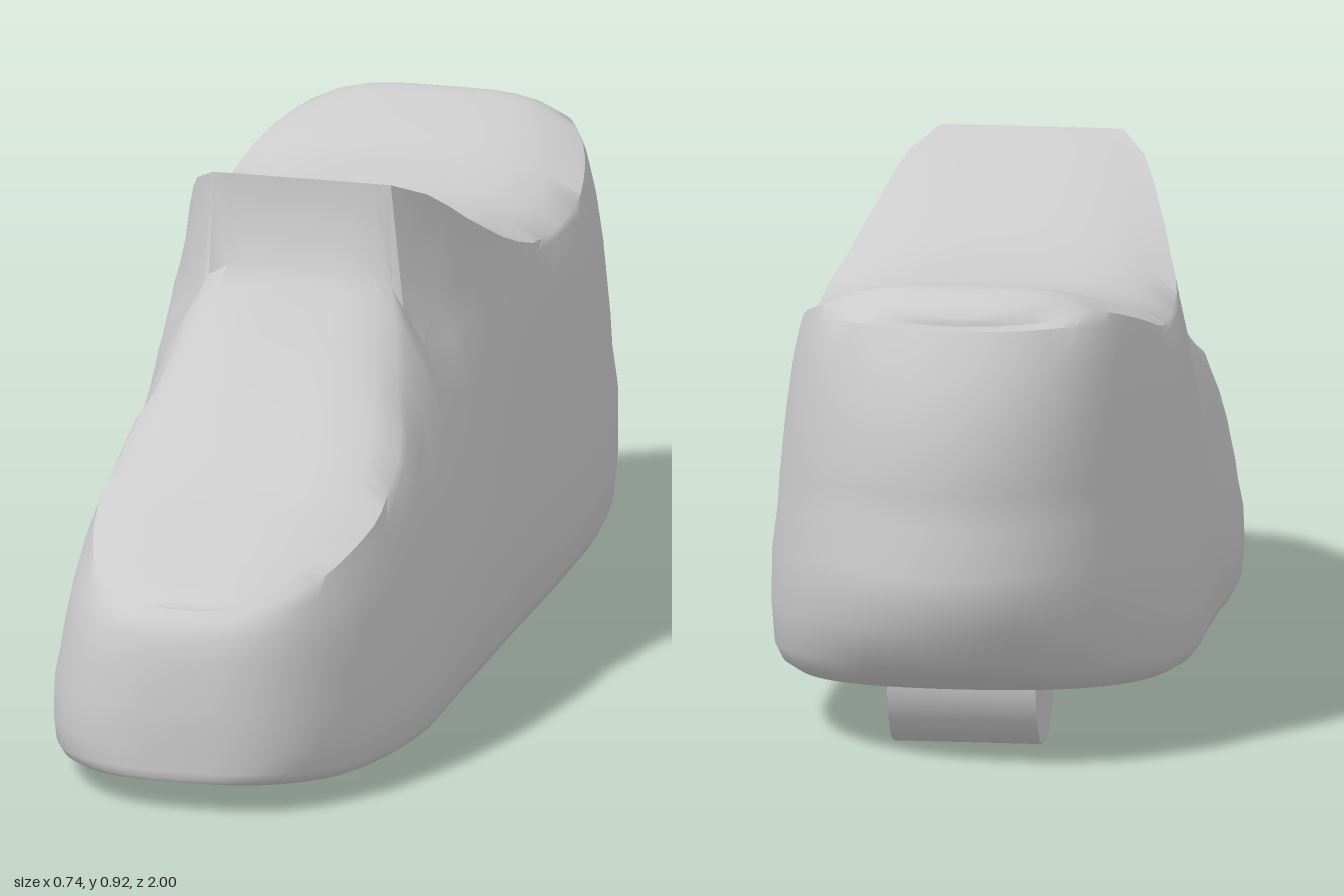
import * as THREE from 'three';
import { toCreasedNormals } from 'three/addons/utils/BufferGeometryUtils.js';

// Linear lookup in a list of [z, value] keys ordered from front to back
function look(keys, z) {
  if (z >= keys[0][0]) return keys[0][1];
  for (let i = 1; i < keys.length; i++) {
    const [z0, v0] = keys[i - 1], [z1, v1] = keys[i];
    if (z >= z1) return v0 + (v1 - v0) * (z0 - z) / (z0 - z1);
  }
  return keys[keys.length - 1][1];
}

// Sole height, shoulder height, centre line of the top, and crown of the top
const sole = [[1, .055], [.8, .033], [.5, .022], [.2, .033], [0, .05], [-.4, .09], [-.85, .13]];
const shoulder = [[1, .33], [.9, .345], [.8, .36], [.6, .41], [.45, .475], [.3, .57], [.2, .7], [0, .71],
  [-.2, .69], [-.5, .69], [-.65, .73], [-.78, .77]];
const topLine = [[.96, .365], [.9, .385], [.8, .41], [.6, .465], [.45, .535], [.3, .65], [.187, .77], [.183, .92],
  [.1, .89], [0, .835], [-.1, .79], [-.2, .76], [-.35, .745], [-.5, .765], [-.65, .81], [-.75, .84], [-.85, .815]];
const crown = [[1, .02], [.6, .03], [.3, .06], [.187, .03], [.183, 0], [0, .02], [-.2, .045], [-.5, .055], [-.8, .05]];
// Half widths of the body and of the top rim
const bodyWidth = [[1, .33], [.3, .33], [0, .345], [-.2, .36], [-.4, .37], [-1, .37]];
const rimWidth = [[1, .25], [.6, .26], [.4, .24], [.2, .17], [.18, .16], [.1, .215], [-.05, .265], [-.2, .305],
  [-.5, .315], [-1, .31]];

// Levels up the wall: [height fraction, width factor, pull towards rim, front reach, back reach]
const levels = [
  [0, .88, 0, .995, .85], [.025, .95, 0, 1, .88], [.07, .985, 0, 1, .925], [.19, 1, 0, 1, .98], [.35, 1, .03, 1, 1],
  [.47, .985, .1, .998, .966], [.57, .985, .18, .995, .97], [.76, .99, .42, .99, .952], [.9, 1, .66, .98, .915],
  [1, 1, .88, .965, .875], [1, 1, 1, .94, .83],
];

// Rounded plan shape of the toe and the heel
function endTaper(s) {
  if (s > .3) return Math.pow(Math.max(0, 1 - Math.pow((s - .3) / .7, 2.8)), 1 / 2.8);
  if (s < -.45) return Math.sqrt(Math.max(0, 1 - ((s + .45) / .55) ** 2));
  return 1;
}

const reachZ = (s, front, back) => s - Math.sign(s) * (1 - (s > 0 ? front : back)) * s ** 4;

// One closed cross-section, from the left sole edge over the top to the right
function section(s) {
  const taper = endTaper(s), w = look(bodyWidth, s) * taper, r = look(rimWidth, s) * taper;
  const last = levels.length - 1;
  const zTop = reachZ(s, levels[last][3], levels[last][4]);
  const drop = look(crown, zTop), rimY = look(topLine, zTop) - drop;
  const side = levels.map(([f, a, c, front, back], k) => {
    const z = reachZ(s, front, back), b = look(sole, z);
    const y = k === last ? rimY : b + f * (Math.min(look(shoulder, zTop), rimY) - b);
    return [w * a + (r - w * a) * c, y, z];
  });
  const lid = [];
  for (let k = 1; k < 10; k++) {
    const t = 1 - k / 5;
    lid.push([r * t, rimY + drop * taper * (1 - t ** 4), zTop]);
  }
  const mirrored = side.map(([x, y, z]) => [-x, y, z]).reverse();
  return [...side, ...lid, ...mirrored];
}

// Skin the sections from toe to heel
function shoeGeometry() {
  const stations = [];
  const n = 56;
  for (let i = 0; i <= n; i++) {
    const s = Math.cos(i / n * Math.PI);
    if (Math.abs(s - .185) > .02) stations.push(s);
  }
  stations.push(.19, .18);
  stations.sort((a, b) => b - a);
  const rings = stations.map(section), m = rings[0].length;
  const index = [];
  for (let i = 0; i < rings.length - 1; i++) {
    for (let j = 0; j < m; j++) {
      const k = (j + 1) % m;
      const a = i * m + j, b = a + m, c = i * m + k, d = c + m;
      index.push(a, b, d, a, d, c);
    }
  }
  const geometry = new THREE.BufferGeometry();
  geometry.setAttribute('position', new THREE.Float32BufferAttribute(rings.flat(2), 3));
  geometry.setIndex(index);
  return toCreasedNormals(geometry, .75);
}

export function createModel() {
  const group = new THREE.Group();
  group.name = 'wheeledShoe';
  const material = new THREE.MeshStandardMaterial({ color: 0xcccccc });

  // Shoe body with closed top and raised tongue
  const body = new THREE.Mesh(shoeGeometry(), material);
  body.name = 'shoeBody';
  group.add(body);

  // Roller set into the heel
  const roller = new THREE.CylinderGeometry(.13, .13, .26, 32);
  roller.rotateZ(Math.PI / 2);
  const wheel = new THREE.Mesh(roller, material);
  wheel.name = 'heelWheel';
  wheel.position.set(0, .13, -.66);
  group.add(wheel);

  return group;
}
